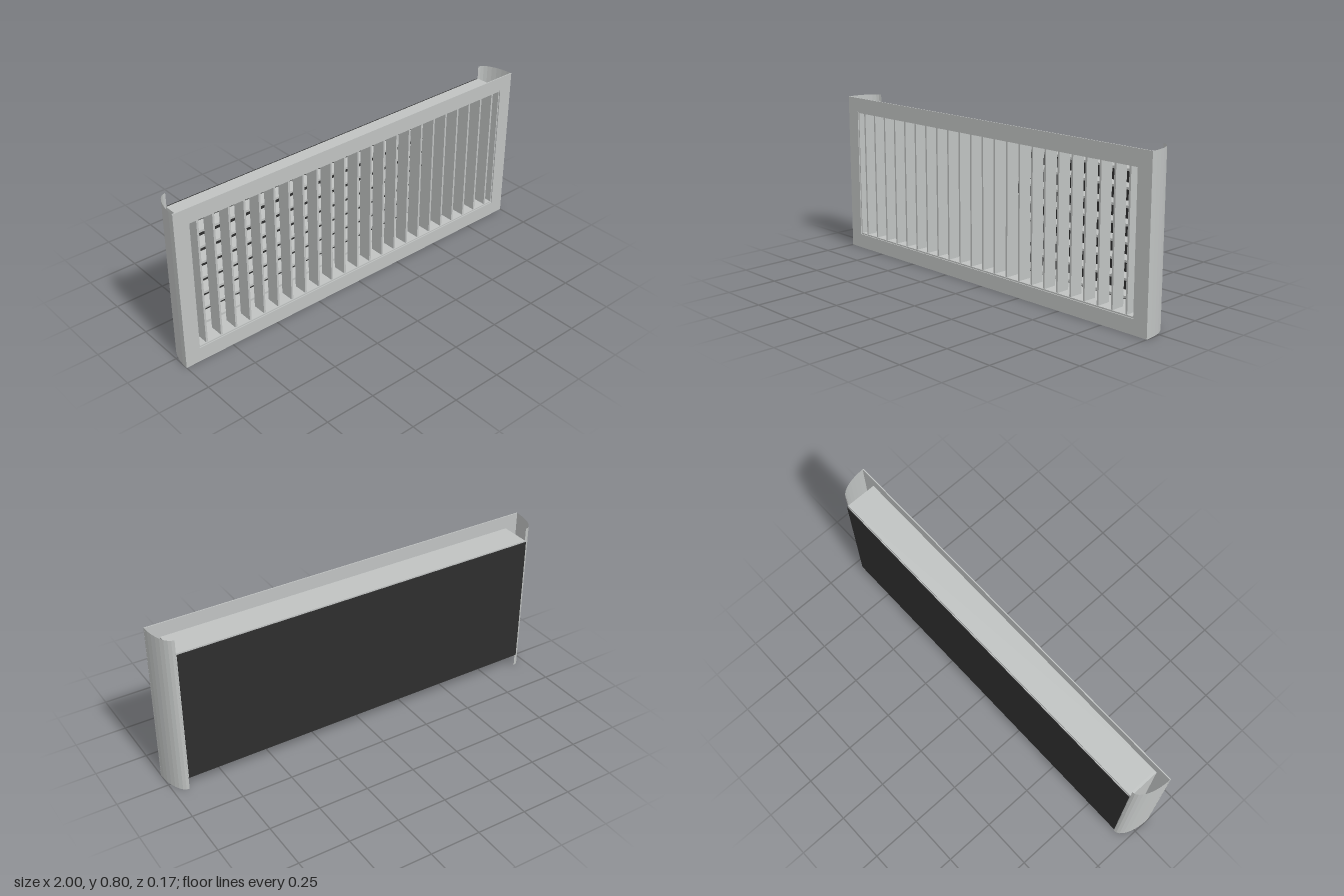
import * as THREE from 'three';

export function createModel() {
  const model = new THREE.Group();
  const metal = new THREE.MeshStandardMaterial({ color: 0xc0c3c2, flatShading: true, side: THREE.DoubleSide });
  metal.name = 'grey metal';
  const dark = new THREE.MeshStandardMaterial({ color: 0x2e2e2e });
  dark.name = 'dark backing';

  const W = 1, H = 0.8, midY = H / 2;
  const holeX = 0.927, holeY = 0.328;
  const frontZ = 0.084, shellBackZ = -0.075;

  const add = (name, geometry, material, parent = model) => {
    const mesh = new THREE.Mesh(geometry, material);
    mesh.name = name;
    parent.add(mesh);
    return mesh;
  };
  const box = (name, w, h, d, x, y, z, material, parent) =>
    add(name, new THREE.BoxGeometry(w, h, d), material, parent).position.set(x, y, z);
  const rect = (target, x, y) => {
    target.moveTo(-x, midY - y);
    target.lineTo(x, midY - y);
    target.lineTo(x, midY + y);
    target.lineTo(-x, midY + y);
    target.closePath();
    return target;
  };

  // Thin front frame with a rectangular opening
  const face = rect(new THREE.Shape(), W, midY);
  face.holes.push(rect(new THREE.Path(), holeX, holeY));
  const frame = add('frontFrame', new THREE.ExtrudeGeometry(face, { depth: 0.005, bevelEnabled: false }), metal);
  frame.position.z = frontZ - 0.005;

  // Curved sheet on each side, sweeping back in a quarter ellipse
  const rx = 0.07, rz = frontZ - shellBackZ, segments = 8;
  for (const side of [1, -1]) {
    const shell = new THREE.PlaneGeometry(1, H, segments, 1);
    const p = shell.attributes.position;
    for (let i = 0; i < p.count; i++) {
      const a = (p.getX(i) + 0.5) * Math.PI / 2;
      // mirrored angle keeps the outer side facing outward on both ends
      const t = side > 0 ? a : Math.PI / 2 - a;
      p.setXYZ(i, side * (W - rx + rx * Math.cos(t)), p.getY(i) + midY, frontZ - rz * Math.sin(t));
    }
    shell.computeVertexNormals();
    add(side > 0 ? 'leftShell' : 'rightShell', shell, metal);
  }

  // Open duct behind the frame
  const duct = new THREE.Group();
  duct.name = 'duct';
  model.add(duct);
  const wall = 0.012, ductX = 0.933, ductY = 0.333;
  const depth = frontZ - 0.005 - shellBackZ, ductZ = shellBackZ + depth / 2;
  for (const s of [1, -1]) {
    box('ductSide', wall, 2 * ductY, depth, s * (ductX - wall / 2), midY, ductZ, metal, duct);
    box(s > 0 ? 'ductTop' : 'ductBottom', 2 * (ductX - wall), wall, depth,
      0, midY + s * (ductY - wall / 2), ductZ, metal, duct);
  }

  // Vertical fins in front, horizontal louvres behind them
  const grille = new THREE.Group();
  grille.name = 'grille';
  model.add(grille);
  for (let i = -11; i <= 11; i++) {
    box('verticalFin', 0.01, 2 * (ductY - wall), 0.07, i * 0.08, midY, 0.04, metal, grille);
  }
  for (let i = 0; i < 8; i++) {
    box('horizontalLouvre', 2 * (ductX - wall), 0.011, 0.07, 0, 0.12 + i * 0.08, -0.035, metal, grille);
  }

  // Dark panel closing the back, just clear of the duct
  box('backPanel', 1.86, 0.66, 0.003, 0, midY, -0.0825, dark);

  return model;
}
